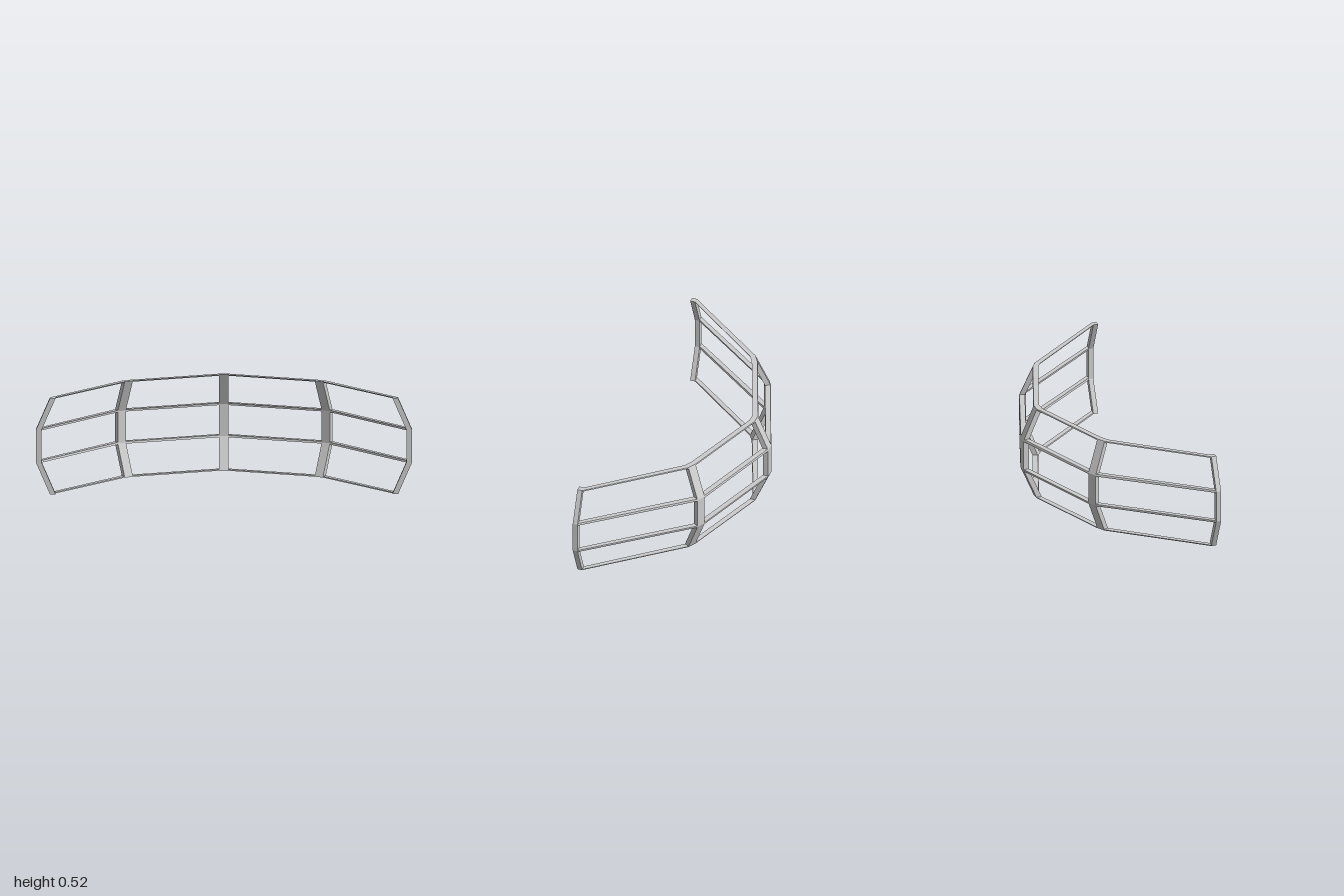
import * as THREE from 'three';

const DEPTH = 0.03; // thickness of the frame from outside to inside
const HEIGHT = 0.52, LOW = 0.173, HIGH = 0.347, LEAN = 0.075, EDGE = 0.006;

// How far the surface steps inward at height y
function lean(y) {
  if (y < LOW) return LEAN * (1 - y / LOW);
  if (y > HIGH) return LEAN * (y - HIGH) / (HEIGHT - HIGH);
  return 0;
}

// Closed cross-section at a station: up the outside, down the inside
function section(station, rows) {
  const at = (y, inset) => new THREE.Vector3(
    station.x - station.nx * inset, y, station.z - station.nz * inset);
  return [
    ...rows.map(y => at(y, lean(y))),
    ...[...rows].reverse().map(y => at(y, lean(y) + DEPTH)),
  ];
}

// Solid bar between two stations, with its profile given by a list of heights
function bar(name, from, to, rows, material) {
  const a = section(from, rows), b = section(to, rows), n = a.length;
  const pos = [];
  const quad = (p, q, r, s) => [p, q, r, p, r, s].forEach(v => pos.push(v.x, v.y, v.z));
  for (let i = 0; i < n; i++) {
    const j = (i + 1) % n;
    quad(a[i], a[j], b[j], b[i]);
  }
  for (let i = 0; i < rows.length - 1; i++) {
    const k = n - 1 - i;
    quad(a[i], a[k], a[k - 1], a[i + 1]);
    quad(b[i], b[i + 1], b[k - 1], b[k]);
  }
  const geometry = new THREE.BufferGeometry();
  geometry.setAttribute('position', new THREE.Float32BufferAttribute(pos, 3));
  geometry.computeVertexNormals();
  const mesh = new THREE.Mesh(geometry, material);
  mesh.name = name;
  return mesh;
}

// Left and right edge stations of a rib, facing outward at the given angle
function ribEdges({ x, z, angle, half }) {
  const a = THREE.MathUtils.degToRad(angle);
  const nx = Math.sin(a), nz = -Math.cos(a);
  return [-half, half].map(d => ({ x: x + Math.cos(a) * d, z: z + Math.sin(a) * d, nx, nz }));
}

export function createModel() {
  const group = new THREE.Group();
  group.name = 'curvedFrame';
  const material = new THREE.MeshStandardMaterial({ color: 0xcccccc, flatShading: true });

  // Rib positions in plan, right half mirrored from the left half
  const middle = { name: 'middleRib', x: 0, z: -0.38, angle: 0, half: 0.025 };
  const side = [
    { name: 'cornerRib', x: 0.557, z: -0.1885, angle: 30, half: 0.025 },
    { name: 'endRib', x: 1, z: 0.3665, angle: 90, half: 0.0135 },
  ];
  const mirrored = side.map(r => ({ ...r, x: -r.x, angle: -r.angle })).reverse();
  const ribs = [...mirrored, middle, ...side];
  const edges = ribs.map(ribEdges);

  // Upright bent ribs
  ribs.forEach((r, i) =>
    group.add(bar(r.name, edges[i][0], edges[i][1], [0, LOW, HIGH, HEIGHT], material)));

  // Thin rails running from rib to rib, folded where the ribs bend
  const rails = {
    bottomRail: [0, EDGE],
    lowerRail: [LOW - EDGE, LOW, LOW + EDGE],
    upperRail: [HIGH - EDGE, HIGH, HIGH + EDGE],
    topRail: [HEIGHT - EDGE, HEIGHT],
  };
  for (const [name, rows] of Object.entries(rails)) {
    for (let i = 0; i < ribs.length - 1; i++) {
      group.add(bar(name, edges[i][1], edges[i + 1][0], rows, material));
    }
  }
  return group;
}
